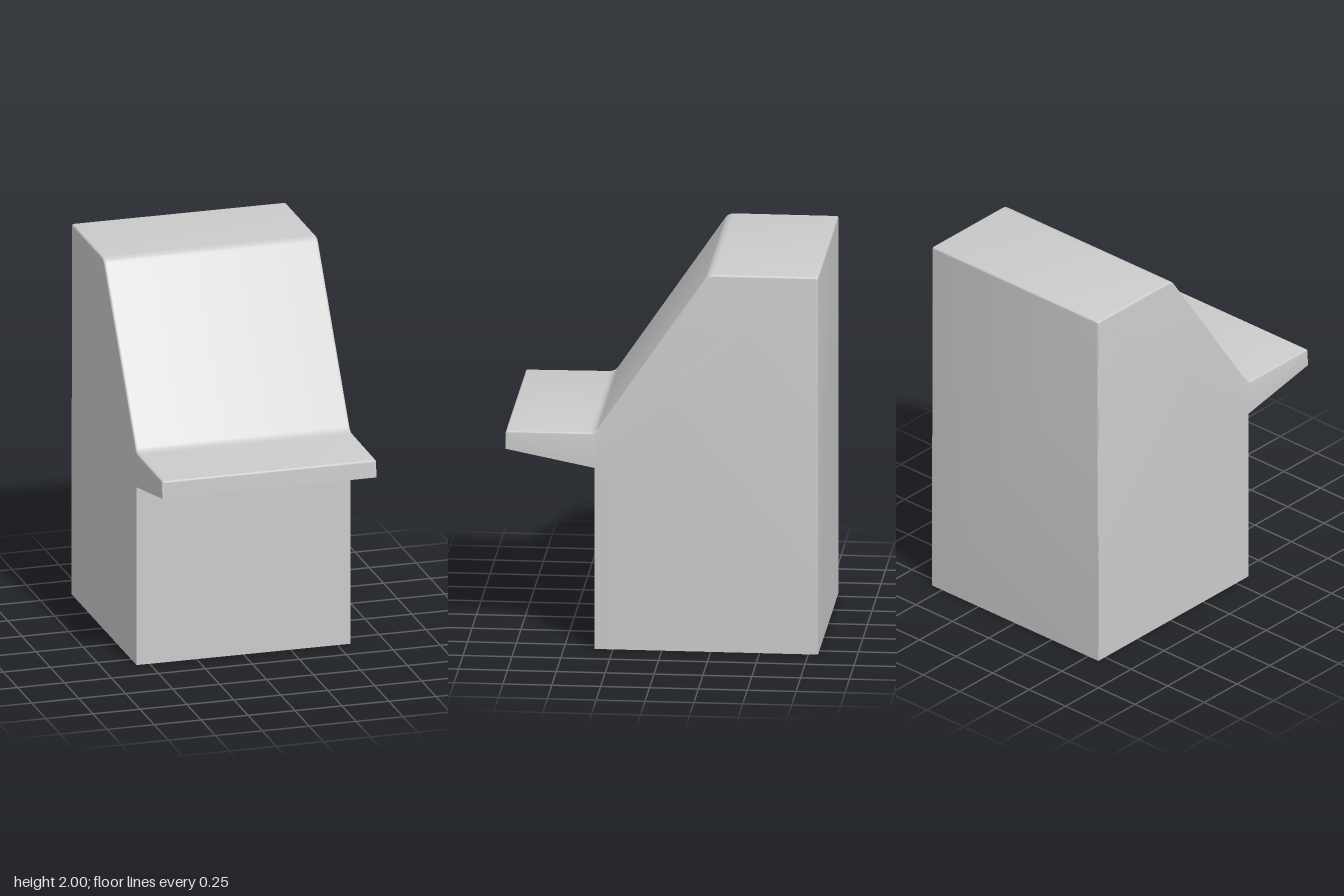
import * as THREE from 'three';
import { toCreasedNormals } from 'three/addons/utils/BufferGeometryUtils.js';

const HALF_WIDTH = 0.57, EDGE = 0.01;

// Corners of the side profile: z, y, rounding distance, softened side edge
const corners = [
  [-0.8, 0, 0, false], [0.345, 0, 0, false], [0.345, 0.96, 0, false], [0.8, 1.05, 0, false],
  [0.8, 1.143, 0.012, true], [0.343, 1.147, 0.03, true],
  [-0.237, 2, 0.03, true], [-0.8, 2, 0.012, true],
];

// Replaces each rounded corner by a short curve
function buildProfile() {
  const at = i => new THREE.Vector2(...corners[(i + corners.length) % corners.length].slice(0, 2));
  const profile = [];
  corners.forEach(([, , d, soft], i) => {
    const p = at(i);
    if (!d) { profile.push({ p, soft }); return; }
    const a = p.clone().add(at(i - 1).sub(p).setLength(d));
    const b = p.clone().add(at(i + 1).sub(p).setLength(d));
    new THREE.QuadraticBezierCurve(a, p, b).getPoints(6).forEach(q => profile.push({ p: q, soft }));
  });
  // Inward direction, used to soften the side edges of the upper surface
  profile.forEach((v, i) => {
    const n = profile.length;
    const t = profile[(i + 1) % n].p.clone().sub(profile[(i + n - 1) % n].p).normalize();
    v.inward = new THREE.Vector2(-t.y, t.x).multiplyScalar(v.soft ? 1 : 0);
  });
  return profile;
}

// Sweeps the profile across x, easing the upper outline in at both ends
function buildBody() {
  const profile = buildProfile(), n = profile.length, steps = 4;
  const half = [];
  for (let k = 0; k <= steps; k++) {
    const a = (k / steps) * Math.PI / 2;
    half.push([HALF_WIDTH - EDGE + EDGE * Math.sin(a), EDGE * (1 - Math.cos(a))]);
  }
  const sections = [...half.map(([x, s]) => [-x, s]).reverse(), ...half];

  const positions = [], index = [];
  for (const [x, inset] of sections) {
    for (const { p, inward } of profile) {
      positions.push(x, p.y + inward.y * inset, p.x + inward.x * inset);
    }
  }
  // Walls between neighbouring sections
  for (let k = 0; k < sections.length - 1; k++) {
    for (let i = 0; i < n; i++) {
      const j = (i + 1) % n;
      const a = k * n + i, b = k * n + j, c = b + n, d = a + n;
      index.push(a, d, c, a, c, b);
    }
  }
  // Flat side panels
  const last = (sections.length - 1) * n;
  const outline = profile.map(({ p, inward }) => p.clone().addScaledVector(inward, EDGE));
  for (const [a, b, c] of THREE.ShapeUtils.triangulateShape(outline, [])) {
    index.push(a, b, c, last + a, last + c, last + b);
  }
  const geometry = new THREE.BufferGeometry();
  geometry.setAttribute('position', new THREE.Float32BufferAttribute(positions, 3));
  geometry.setIndex(index);
  return toCreasedNormals(geometry, 0.5);
}

export function createModel() {
  const group = new THREE.Group();
  group.name = 'console';
  const body = new THREE.Mesh(buildBody(), new THREE.MeshStandardMaterial({ color: 0xcccccc }));
  body.name = 'consoleBody';
  group.add(body);
  return group;
}
